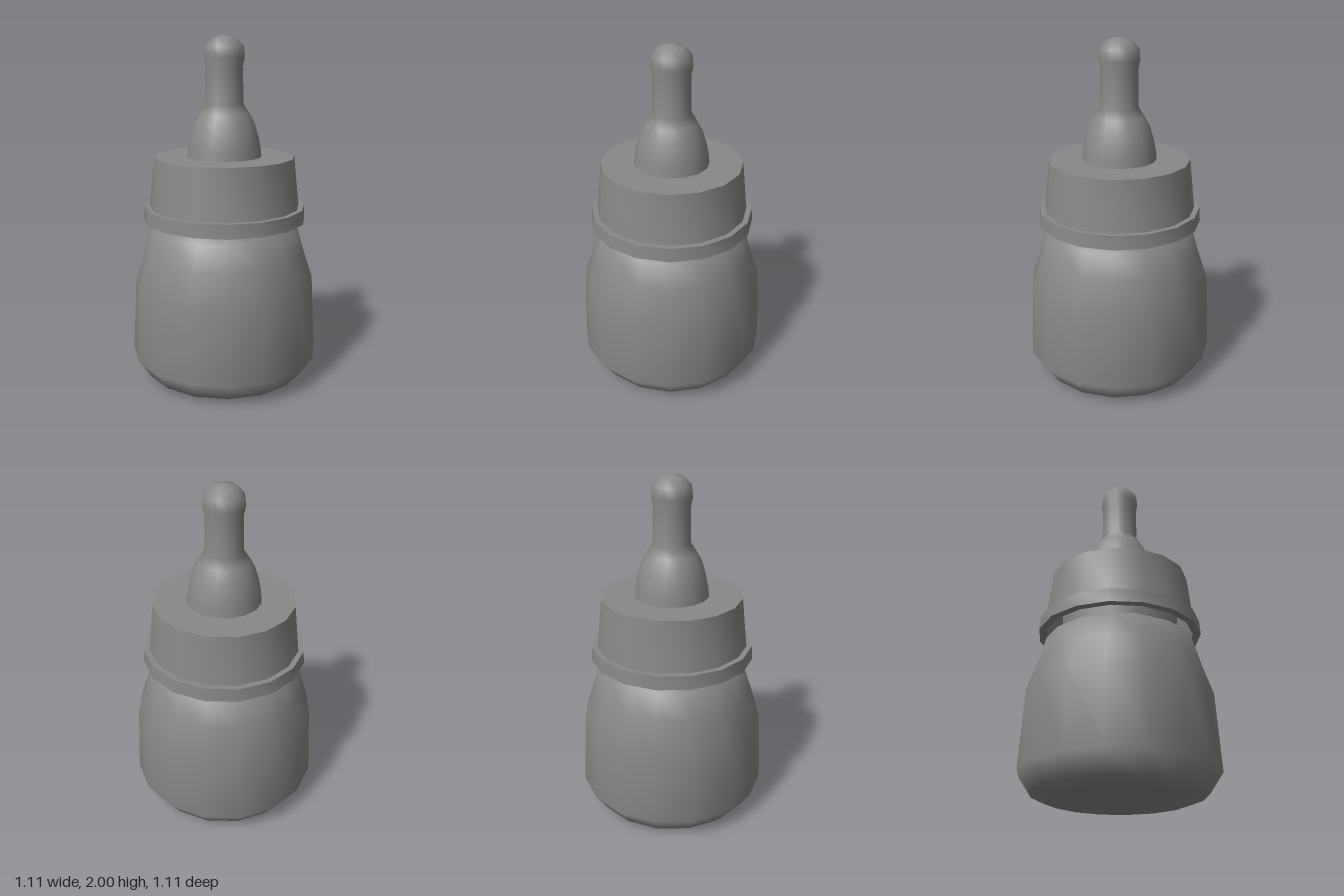
import * as THREE from 'three';
import { toCreasedNormals } from 'three/addons/utils/BufferGeometryUtils.js';

const SIDES = 16;
const material = new THREE.MeshStandardMaterial({ color: 0x888888, side: THREE.DoubleSide });

// Turns a profile of [radius, height] points around the y axis.
function turned(name, profile, crease) {
  const points = profile.map(([r, y]) => new THREE.Vector2(r, y));
  let geometry = new THREE.LatheGeometry(points, SIDES);
  if (crease) geometry = toCreasedNormals(geometry, crease);
  const mesh = new THREE.Mesh(geometry, material);
  mesh.name = name;
  return mesh;
}

export function createModel() {
  const model = new THREE.Group();
  model.name = 'babyBottle';

  // Body with rounded foot and shoulder, and a narrow neck inside the collar
  model.add(turned('bottleBody', [
    [0.4, 0], [0.48, 0.03], [0.555, 0.14], [0.53, 0.58],
    [0.47, 0.76], [0.43, 0.9], [0.34, 0.95],
  ]));
  model.add(turned('bottleNeck', [[0.34, 0.95], [0.34, 1.26]]));

  // Shallow hollow under the foot
  model.add(turned('bottleBase', [[0, 0.06], [0.2, 0.05], [0.32, 0.03], [0.4, 0]]));

  // Screw collar: inner wall, lower rim, tapered outside, flat top with a hole
  model.add(turned('screwCollar', [
    [0.4, 1.28], [0.43, 0.95], [0.475, 0.95], [0.469, 1.03],
    [0.438, 1.03], [0.406, 1.32], [0.215, 1.32],
  ], 0.6));

  // Teat: domed base, straight stem and rounded tip
  model.add(turned('teat', [
    [0.222, 1.27], [0.214, 1.32], [0.209, 1.37], [0.197, 1.43], [0.173, 1.51],
    [0.143, 1.565], [0.108, 1.62], [0.105, 1.83], [0.115, 1.88], [0.109, 1.94],
    [0.066, 1.985], [0, 2],
  ]));

  return model;
}
